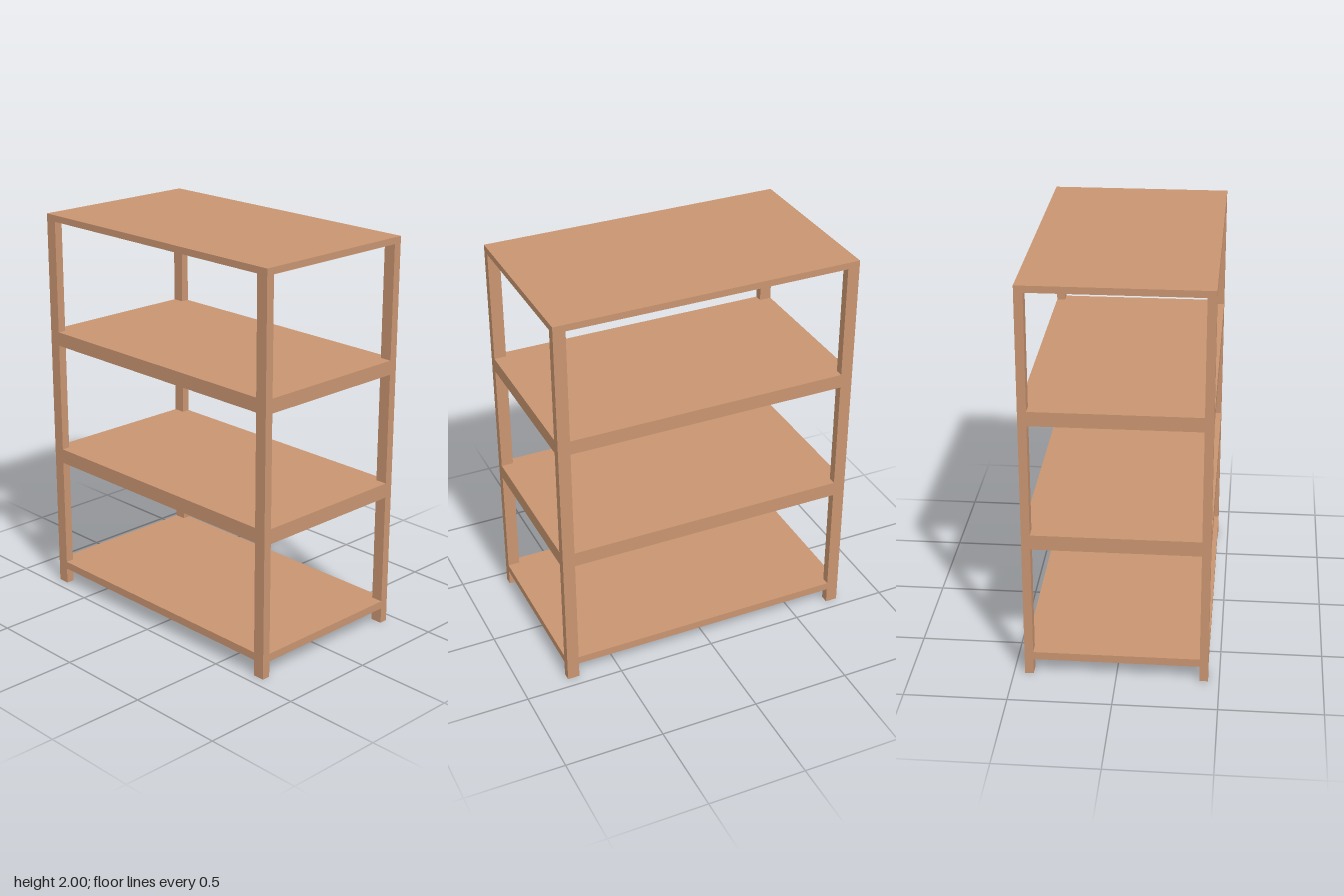
import * as THREE from 'three';

const W = 0.446, D = 0.767;    // half width and half depth
const PW = 0.042, PD = 0.061;  // post width and depth
const TOP = 1.967;             // underside of the top board

export function createModel() {
  const group = new THREE.Group();
  const wood = new THREE.MeshStandardMaterial({ color: 0xc89470 });
  const add = (name, geometry, x, y, z) => {
    const mesh = new THREE.Mesh(geometry, wood);
    mesh.name = name;
    mesh.position.set(x, y, z);
    group.add(mesh);
  };

  // Four corner posts
  for (const sx of [1, -1]) for (const sz of [1, -1]) {
    add(`${sz > 0 ? 'front' : 'back'}${sx > 0 ? 'Left' : 'Right'}Post`,
      new THREE.BoxGeometry(PW, TOP, PD),
      sx * (W - PW / 2), TOP / 2, sz * (D - PD / 2));
  }

  // Top board resting on the posts
  add('topBoard', new THREE.BoxGeometry(2 * W, 2 - TOP, 2 * D), 0, (2 + TOP) / 2, 0);

  // Shelves flush with the frame, their corners notched around the posts
  const a = W - PW, b = D - PD;
  const outline = new THREE.Shape([
    [W, -b], [W, b], [a, b], [a, D], [-a, D], [-a, b],
    [-W, b], [-W, -b], [-a, -b], [-a, -D], [a, -D], [a, -b],
  ].map(([x, y]) => new THREE.Vector2(x, y)));
  const shelves = [
    ['bottomShelf', 0.081, 0.121],
    ['lowerShelf', 0.688, 0.763],
    ['upperShelf', 1.326, 1.397],
  ];
  for (const [name, y0, y1] of shelves) {
    const geometry = new THREE.ExtrudeGeometry(outline, { depth: y1 - y0, bevelEnabled: false });
    geometry.rotateX(-Math.PI / 2);
    add(name, geometry, 0, y0, 0);
  }
  return group;
}
